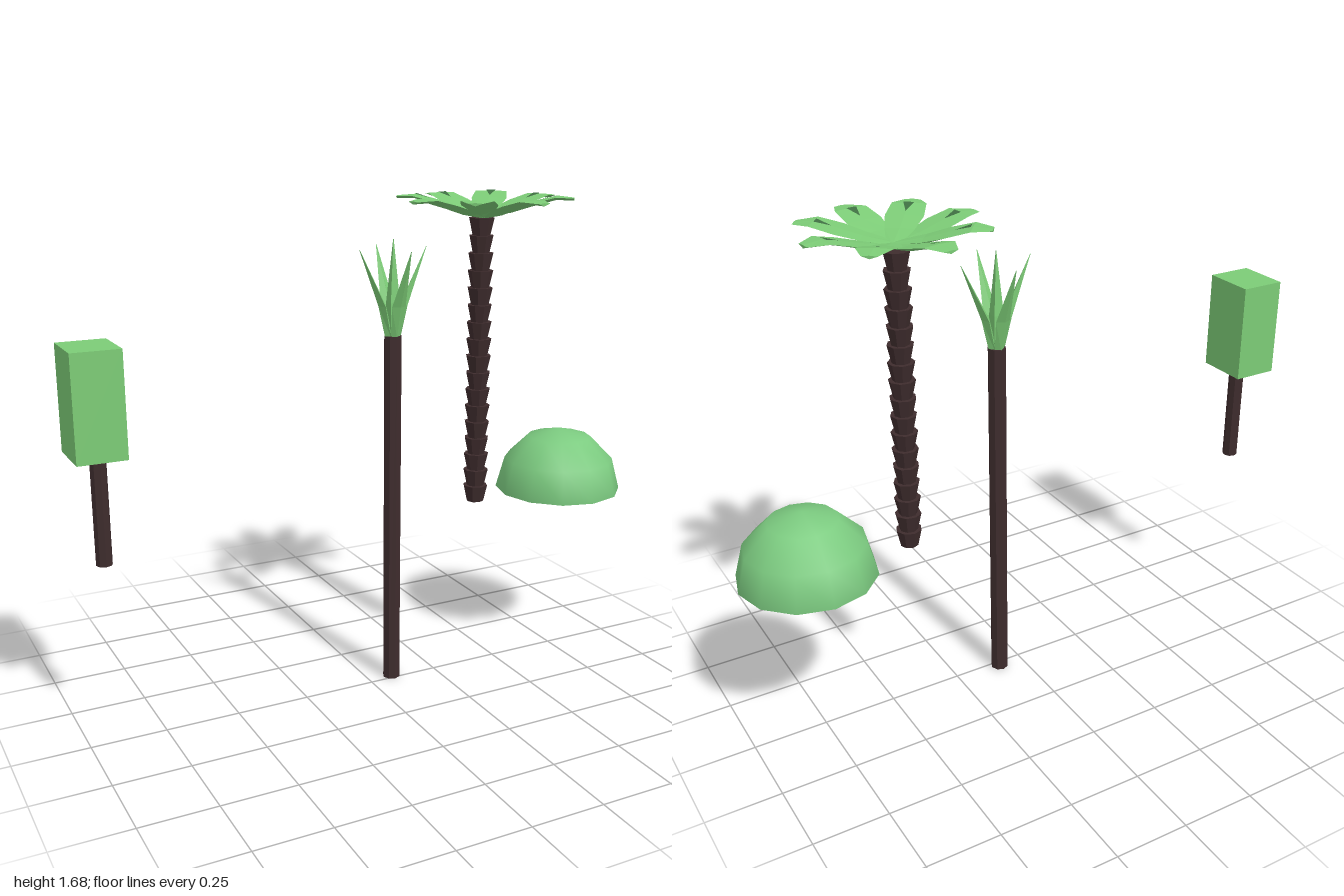
import * as THREE from 'three';

const mat = (name, color, double) => {
  const m = new THREE.MeshStandardMaterial({ color, flatShading: !double });
  m.name = name;
  if (double) m.side = THREE.DoubleSide;
  return m;
};

// Joins cross-section rings (counter-clockwise seen from the far end) into a faceted solid
function loft(rings) {
  const p = [];
  const tri = (a, b, c) => p.push(...a, ...b, ...c);
  const n = rings[0].length, last = rings[rings.length - 1];
  for (let r = 0; r < rings.length - 1; r++) {
    const a = rings[r], b = rings[r + 1];
    for (let i = 0; i < n; i++) {
      const j = (i + 1) % n;
      tri(a[i], a[j], b[i]);
      tri(a[j], b[j], b[i]);
    }
  }
  for (let i = 1; i < n - 1; i++) {
    tri(rings[0][0], rings[0][i + 1], rings[0][i]);
    tri(last[0], last[i], last[i + 1]);
  }
  const g = new THREE.BufferGeometry();
  g.setAttribute('position', new THREE.Float32BufferAttribute(p, 3));
  g.computeVertexNormals();
  return g;
}

function add(parent, name, geometry, material, x = 0, y = 0, z = 0, turn = 0) {
  const m = new THREE.Mesh(geometry, material);
  m.name = name;
  m.position.set(x, y, z);
  m.rotation.y = turn;
  parent.add(m);
  return m;
}

function plant(parent, name, x, y) {
  const g = new THREE.Group();
  g.name = name;
  g.position.set(x, y, -0.018);
  parent.add(g);
  return g;
}

export function createModel() {
  const model = new THREE.Group();
  model.name = 'treeSet';
  const bark = mat('bark', 0x3e2c2d);
  const leaf = mat('leafGreen', 0x7ccb76);
  const shade = mat('darkLeafGreen', 0x3f6f42);
  const bush = mat('bushGreen', 0x7ccb80, true);

  // Tree with a box crown
  const boxTree = plant(model, 'boxTree', -0.922, 0.6);
  add(boxTree, 'boxTrunk', new THREE.CylinderGeometry(0.026, 0.026, 0.36, 8), bark, 0.007, 0.18);
  add(boxTree, 'boxCrown', new THREE.BoxGeometry(0.156, 0.335, 0.182), leaf, 0, 0.5175);

  // Tall tree with spiky leaves
  const spiky = plant(model, 'spikyTree', 0.087, 0);
  add(spiky, 'tallTrunk', new THREE.CylinderGeometry(0.03, 0.03, 1.23, 8), [bark, bark, leaf], 0, 0.615);
  const spikeRing = ([z, y, w, t]) => [[w, y, z], [0, y, z - t], [-w, y, z], [0, y, z + t]];
  const spike = loft([
    [0.015, 1.225, 0.016, 0.014],
    [0.04, 1.33, 0.025, 0.014],
    [0.122, 1.516, 0.001, 0.001],
  ].map(spikeRing));
  for (let i = 0; i < 4; i++) add(spiky, 'spikeLeaf', spike, leaf, 0, 0, 0, i * Math.PI / 2);
  const centre = loft([
    [0, 1.225, 0.024, 0.024],
    [0, 1.34, 0.024, 0.024],
    [0, 1.545, 0.001, 0.001],
  ].map(spikeRing));
  add(spiky, 'centreSpike', centre, leaf, 0, 0, 0, Math.PI / 4);

  // Palm trunk of stacked flaring segments
  const palm = plant(model, 'palmTree', 0.42, 0);
  const count = 17, step = 0.99 / count;
  const segment = new THREE.CylinderGeometry(0.043, 0.03, step, 8);
  for (let i = 0; i < count; i++) {
    add(palm, 'palmTrunkSegment', segment, bark, 0, 0.61 + (i + 0.5) * step, 0, i * 0.2);
  }

  // Palm crown: broad, gently rising leaves with a dark mark on each
  const crown = new THREE.Group();
  crown.name = 'palmCrown';
  crown.position.set(0, 0, 0.014);
  palm.add(crown);
  const frond = loft([
    [-0.01, 0.02, 1.607, 0.012],
    [0.09, 0.046, 1.626, 0.012],
    [0.16, 0.06, 1.645, 0.009],
    [0.235, 0.054, 1.664, 0.007],
    [0.293, 0.024, 1.66, 0.004],
  ].map(([z, w, y, t]) => [[w, y + 0.004, z], [0, y + 0.006, z], [-w, y + 0.004, z], [0, y - t, z]]));
  const mark = new THREE.BufferGeometry();
  mark.setAttribute('position', new THREE.Float32BufferAttribute(
    [0, 1.658, 0.18, -0.017, 1.673, 0.23, 0.017, 1.673, 0.23], 3));
  mark.computeVertexNormals();
  for (let i = 0; i < 8; i++) {
    const turn = i * Math.PI / 4 + 0.13;
    add(crown, 'palmLeaf', frond, leaf, 0, (i % 2) * 0.004, 0, turn);
    add(crown, 'leafMark', mark, shade, 0, (i % 2) * 0.004, 0, turn);
  }

  // Half-round bush, open underneath
  const dome = new THREE.SphereGeometry(0.225, 12, 3, 0, Math.PI * 2, 0, Math.PI / 2);
  add(model, 'roundBush', dome, bush, 0.775, 0.608, -0.02);

  return model;
}
